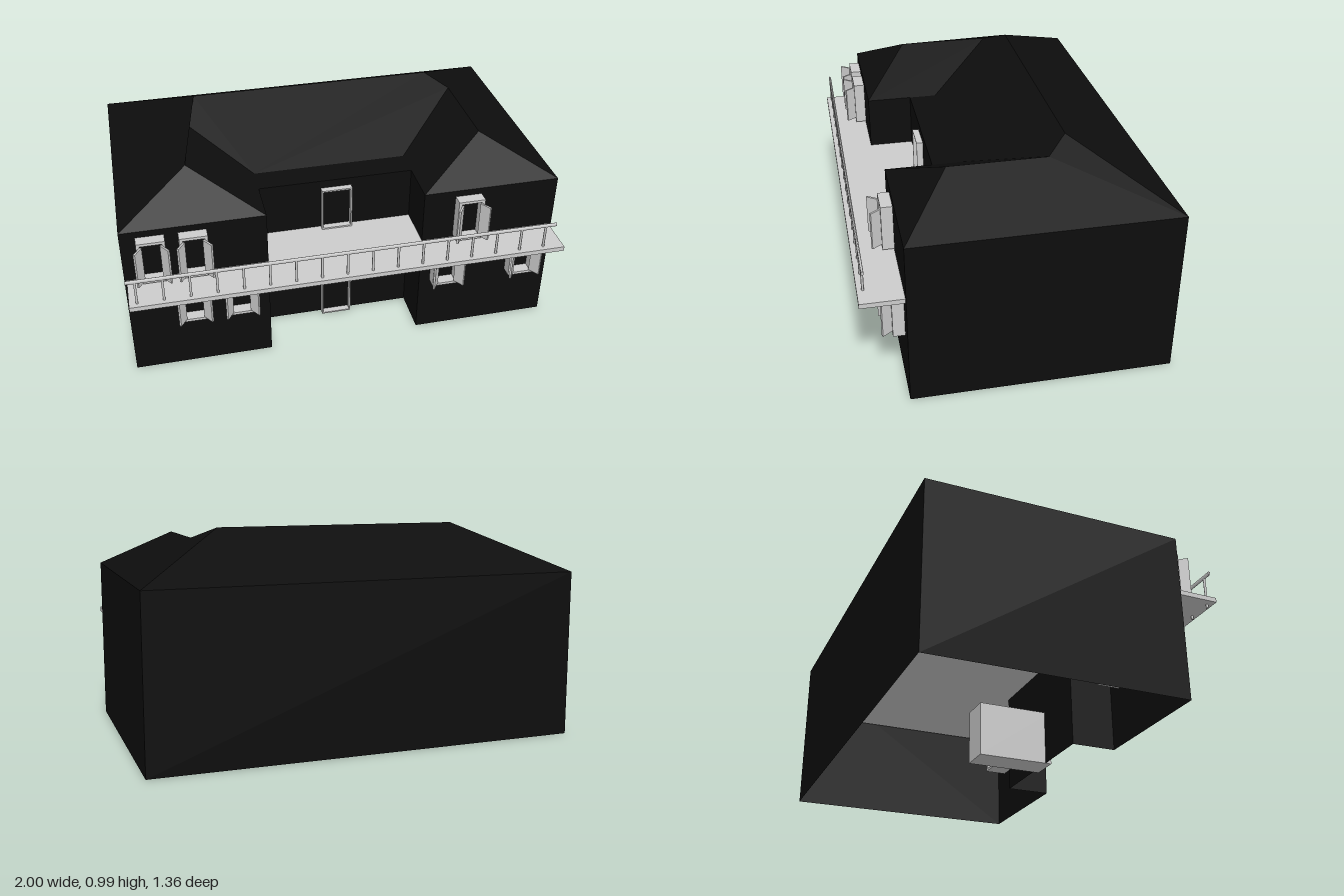
import * as THREE from 'three';

const black = new THREE.MeshStandardMaterial({ color: 0x0d0d0d, side: THREE.DoubleSide });
black.name = 'black';
const lightGrey = new THREE.MeshStandardMaterial({ color: 0xcccccc });
lightGrey.name = 'light grey';

function add(parent, name, geometry, material) {
  const mesh = new THREE.Mesh(geometry, material);
  mesh.name = name;
  parent.add(mesh);
  return mesh;
}

// Box given by its two opposite corners
function block(parent, name, [x0, y0, z0], [x1, y1, z1], material = lightGrey) {
  const mesh = add(parent, name, new THREE.BoxGeometry(x1 - x0, y1 - y0, z1 - z0), material);
  mesh.position.set((x0 + x1) / 2, (y0 + y1) / 2, (z0 + z1) / 2);
  return mesh;
}

// Flat-shaded surface from convex polygons
function polygons(faces) {
  const pos = [];
  for (const f of faces) {
    for (let i = 1; i < f.length - 1; i++) pos.push(...f[0], ...f[i], ...f[i + 1]);
  }
  const g = new THREE.BufferGeometry();
  g.setAttribute('position', new THREE.Float32BufferAttribute(pos, 3));
  g.computeVertexNormals();
  return g;
}

const EAVE = 0.775, RIDGE = 0.99, WING = 0.94;
const BACK = -0.68, FRONT = 0.493, COURT = 0.28;

// U-shaped walls, open underneath
function wallGeometry() {
  const plan = [[-1, BACK], [-1, FRONT], [-0.36, FRONT], [-0.36, COURT],
    [0.36, COURT], [0.36, FRONT], [1, FRONT], [1, BACK]];
  return polygons(plan.map(([x, z], i) => {
    const [u, w] = plan[(i + 1) % plan.length];
    return [[x, 0, z], [u, 0, w], [u, EAVE, w], [x, EAVE, z]];
  }));
}

// Main hip roof with a hipped wing at each end
function roofGeometry() {
  const rz = -0.265, rx = 0.58, valley = 0.15;
  const faces = [
    [[1, EAVE, BACK], [-1, EAVE, BACK], [-rx, RIDGE, rz], [rx, RIDGE, rz]],
    [[-0.36, EAVE, valley], [0.36, EAVE, valley], [0.68, WING, -0.17],
      [rx, RIDGE, rz], [-rx, RIDGE, rz], [-0.68, WING, -0.17]],
    [[-0.36, EAVE, COURT], [0.36, EAVE, COURT], [0.36, EAVE, valley], [-0.36, EAVE, valley]],
  ];
  const half = [
    [[0.68, WING, -0.17], [0.68, WING, 0.27], [1, EAVE, FRONT], [1, EAVE, BACK], [rx, RIDGE, rz]],
    [[0.36, EAVE, FRONT], [1, EAVE, FRONT], [0.68, WING, 0.27]],
    [[0.36, EAVE, valley], [0.36, EAVE, FRONT], [0.68, WING, 0.27], [0.68, WING, -0.17]],
  ];
  for (const f of half) {
    faces.push(f, f.map(([x, y, z]) => [-x, y, z]).reverse());
  }
  return polygons(faces);
}

// Hollow rectangular frame running from z0 to z1
function frame(parent, w, y0, y1, z0, z1, side, bar) {
  for (const s of [-1, 1]) {
    const a = s * w, b = s * (w - side);
    block(parent, 'jamb', [Math.min(a, b), y0, z0], [Math.max(a, b), y1, z1]);
  }
  block(parent, 'sill', [-w + side, y0, z0], [w - side, y0 + bar, z1]);
  block(parent, 'lintel', [-w + side, y1 - bar, z0], [w - side, y1, z1]);
}

// Deep window frame with two splayed shutters
function windowUnit(x, y) {
  const g = new THREE.Group();
  g.name = 'window';
  frame(g, 0.062, 0, 0.213, 0.38, 0.545, 0.014, 0.013);
  for (const s of [-1, 1]) {
    const a = [s * 0.042, 0.545], b = [s * 0.073, 0.59];
    const len = Math.hypot(b[0] - a[0], b[1] - a[1]);
    const m = add(g, 'shutter', new THREE.BoxGeometry(0.009, 0.177, len), lightGrey);
    m.position.set((a[0] + b[0]) / 2, 0.107, (a[1] + b[1]) / 2);
    m.rotation.y = Math.atan2(b[0] - a[0], b[1] - a[1]);
  }
  g.position.set(x, y, 0);
  return g;
}

// Door surround, closed at the back
function doorUnit(y, h) {
  const g = new THREE.Group();
  g.name = 'door';
  frame(g, 0.072, 0, h, -0.06, 0.31, 0.007, 0.007);
  block(g, 'doorBack', [-0.065, 0.007, -0.06], [0.065, h - 0.007, -0.052]);
  g.position.y = y;
  return g;
}

export function createModel() {
  const house = new THREE.Group();
  house.name = 'house';
  add(house, 'walls', wallGeometry(), black);
  add(house, 'roof', roofGeometry(), black);

  // Upper floor slab, carried forward as the balcony
  block(house, 'balconyFloor', [-0.99, 0.5, -0.67], [0.985, 0.522, 0.682]);

  for (const x of [-0.87, -0.687, 0.57]) house.add(windowUnit(x, 0.532));
  for (const x of [-0.709, -0.497, 0.474, 0.853]) house.add(windowUnit(x, 0.281));
  house.add(doorUnit(0, 0.263), doorUnit(0.522, 0.215));

  // Balcony railing
  const railing = new THREE.Group();
  railing.name = 'railing';
  const rail = add(railing, 'handrail', new THREE.CylinderGeometry(0.01, 0.01, 1.935, 8), lightGrey);
  rail.rotation.z = Math.PI / 2;
  rail.position.set(-0.0275, 0.638, 0.656);
  rail.scale.z = 0.6;
  const postGeometry = new THREE.CylinderGeometry(0.006, 0.006, 0.155, 6);
  for (let i = 0; i < 17; i++) {
    const post = add(railing, 'post', postGeometry, lightGrey);
    post.position.set(-0.955 + i * 0.1153, 0.56, 0.656);
  }
  house.add(railing);
  return house;
}
